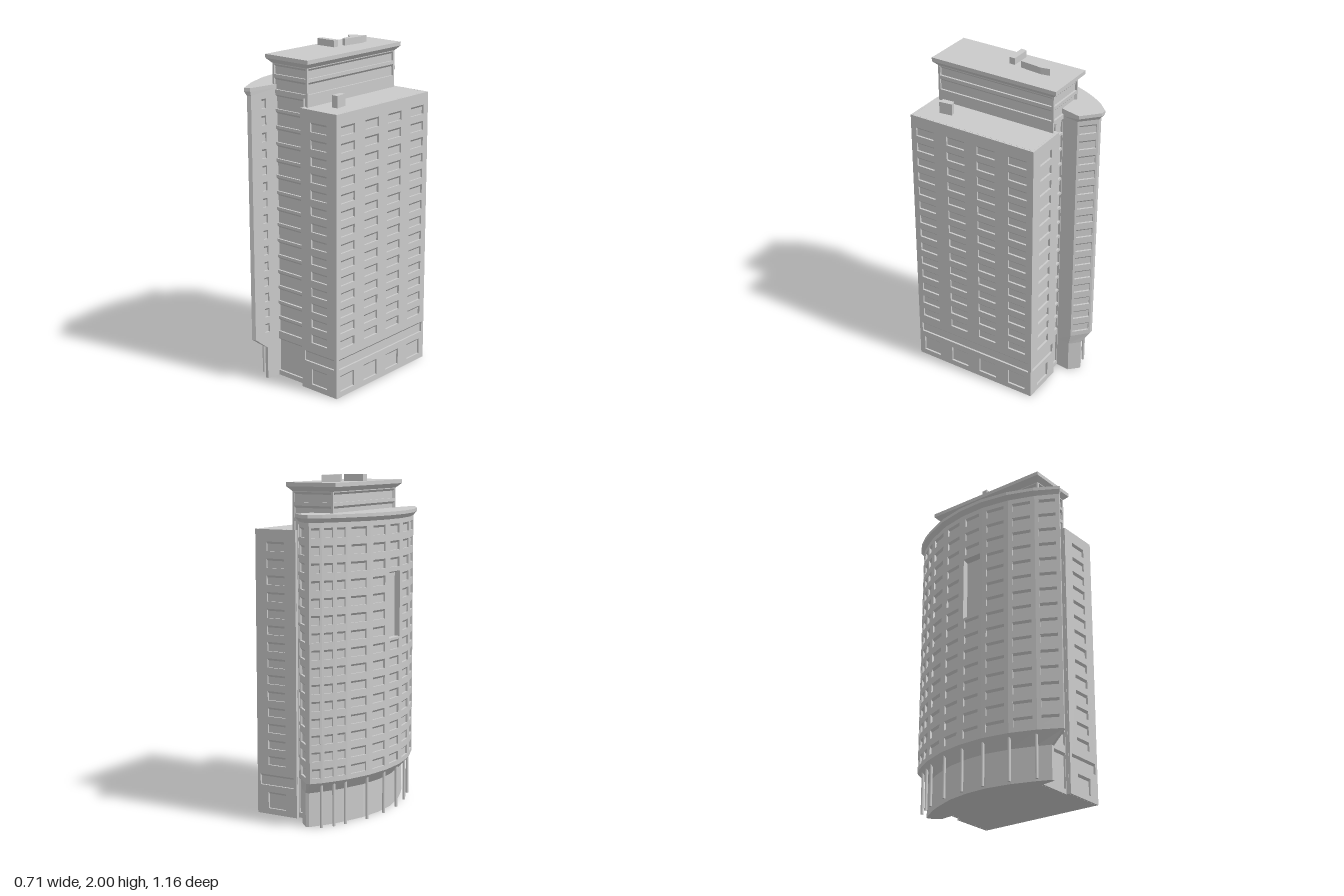
import * as THREE from 'three';
import { mergeGeometries } from 'three/addons/utils/BufferGeometryUtils.js';

const concrete = new THREE.MeshStandardMaterial({ color: 0xcacaca });
concrete.name = 'concrete';

const D = 0.012;                                  // window recess
const rows = Array.from({ length: 15 }, (_, i) => 0.325 + 0.0973 * i);

function add(parent, name, geometry) {
  const mesh = new THREE.Mesh(geometry, concrete);
  mesh.name = name;
  parent.add(mesh);
  return mesh;
}

// Upright solid from a plan outline of [x, z] points
function prism(loop, y0, y1) {
  const shape = new THREE.Shape(loop.map(([x, z]) => new THREE.Vector2(x, -z)));
  return new THREE.ExtrudeGeometry(shape, { depth: y1 - y0, bevelEnabled: false })
    .rotateX(-Math.PI / 2).translate(0, y0, 0);
}

// Sloping band between two outlines with the same number of points
function loft(low, y0, high, y1) {
  const p = [];
  low.forEach((c, i) => {
    const j = (i + 1) % low.length;
    const a = [low[j][0], y0, low[j][1]], b = [c[0], y0, c[1]];
    const d = [high[i][0], y1, high[i][1]], e = [high[j][0], y1, high[j][1]];
    p.push(...a, ...b, ...d, ...a, ...d, ...e);
  });
  const g = new THREE.BufferGeometry();
  g.setAttribute('position', new THREE.Float32BufferAttribute(p, 3));
  g.computeVertexNormals();
  return g;
}

const rect = (x0, x1, zFront, zBack) => [[x0, zFront], [x0, zBack], [x1, zBack], [x1, zFront]];

// Wall from a (left, seen from outside) to b with recessed openings
// given as { x, w, y0, y1, depth }; each has a sloping head.
function wall(a, b, y0, y1, openings, thick = D) {
  const dx = b[0] - a[0], dz = b[1] - a[1], len = Math.hypot(dx, dz);
  const shape = new THREE.Shape();
  shape.moveTo(0, y0).lineTo(len, y0).lineTo(len, y1).lineTo(0, y1).closePath();
  const parts = [];
  for (const o of openings) {
    const { x, w, depth = D } = o, l = x - w / 2, r = x + w / 2;
    const hole = new THREE.Path();
    hole.moveTo(l, o.y0).lineTo(l, o.y1).lineTo(r, o.y1).lineTo(r, o.y0).closePath();
    shape.holes.push(hole);
    // pane at the back of the recess
    const t = thick - depth + 0.002;
    parts.push(new THREE.BoxGeometry(w, o.y1 - o.y0, t)
      .translate(x, (o.y0 + o.y1) / 2, -depth - t / 2).toNonIndexed());
    // sloping head
    const s = 0.013, head = new THREE.BoxGeometry(w, s, depth).toNonIndexed();
    const p = head.attributes.position;
    for (let i = 0; i < p.count; i++) if (p.getZ(i) > 0) p.setY(i, s / 2);
    head.computeVertexNormals();
    parts.push(head.translate(x, o.y1 - s / 2, -depth / 2));
  }
  parts.push(new THREE.ExtrudeGeometry(shape, { depth: thick, bevelEnabled: false }).translate(0, 0, -thick));
  const m = new THREE.Matrix4().makeBasis(
    new THREE.Vector3(dx / len, 0, dz / len), new THREE.Vector3(0, 1, 0),
    new THREE.Vector3(-dz / len, 0, dx / len)).setPosition(a[0], 0, a[1]);
  return mergeGeometries(parts).applyMatrix4(m);
}

const windowsAt = (x, w, list) => list.map(y => ({ x, w, y0: y - 0.026, y1: y + 0.029 }));

export function createModel() {
  const model = new THREE.Group();
  model.name = 'towerBlock';

  // Curved wing: plan of the walls, the cornice and the set-back base
  const wing = new THREE.Group();
  wing.name = 'curvedWing';
  model.add(wing);
  const walls = [[-0.18, 0.565], [-0.25, 0.435], [-0.305, 0.28], [-0.333, 0.11], [-0.328, -0.05],
    [-0.297, -0.21], [-0.235, -0.365], [-0.195, -0.435], [-0.15, -0.505], [-0.1, -0.56],
    [-0.075, -0.56], [0.015, -0.475], [0, -0.37], [-0.13, 0.37], [-0.158, 0.555]];
  const cornice = [[-0.19, 0.578], [-0.27, 0.44], [-0.328, 0.285], [-0.357, 0.11], [-0.352, -0.05],
    [-0.32, -0.215], [-0.255, -0.375], [-0.215, -0.45], [-0.165, -0.52], [-0.105, -0.58],
    [-0.07, -0.58], [0.03, -0.49], [0, -0.37], [-0.13, 0.37], [-0.158, 0.56]];
  const base = [[-0.165, 0.47], [-0.2, 0.385], [-0.245, 0.25], [-0.272, 0.1], [-0.268, -0.04],
    [-0.24, -0.185], [-0.18, -0.33], [-0.145, -0.395], [-0.105, -0.455], [-0.065, -0.51],
    [-0.045, -0.515], [0.01, -0.46], [0, -0.37], [-0.13, 0.37], [-0.145, 0.47]];

  walls.forEach((right, i) => {
    if (i === 12) return;                         // side hidden against the core
    const left = walls[(i + 1) % walls.length];
    const len = Math.hypot(right[0] - left[0], right[1] - left[1]);
    let openings = [];
    if (i < 9) openings = windowsAt(len / 2, len * 0.68, rows);
    if (i === 10) openings = windowsAt(len / 2, len * 0.8, rows);
    if (i === 13) openings = windowsAt(len - 0.1, 0.032, rows);
    if (i === 3) {                                // tall sky opening
      openings = openings.filter((_, k) => k < 8 || k > 11);
      openings.push({ x: len / 2, w: len * 0.8, y0: 1.05, y1: 1.44, depth: 0.035 });
    }
    add(wing, 'wingWall', wall(left, right, 0.27, 1.75, openings, i === 3 ? 0.035 : D));
  });
  add(wing, 'wingSoffit', loft(base, 0.2, walls, 0.27));
  add(wing, 'wingBase', prism(base, 0, 0.2));
  add(wing, 'wingCorniceFlare', loft(walls, 1.745, cornice, 1.77));
  add(wing, 'wingRoof', prism(cornice, 1.77, 1.79));
  for (let i = 1; i <= 8; i++) {
    const [x, z] = walls[i].map((v, k) => THREE.MathUtils.lerp(v, base[i][k], 0.38));
    add(wing, 'column', new THREE.CylinderGeometry(0.009, 0.009, 0.26, 10)).position.set(x, 0.13, z);
  }

  // Side block
  const block = new THREE.Group();
  block.name = 'sideBlock';
  model.add(block);
  const top = 1.69, blockRows = rows.slice(0, 14);
  const facade = (len, centres, w) => [
    ...centres.flatMap(x => [...windowsAt(x, w, blockRows), { x, w, y0: 0.035, y1: 0.135 }]),
    { x: len / 2, w: len - 0.04, y0: 0.175, y1: 0.24 }];
  add(block, 'blockBody', prism(rect(0.085, 0.3425, 0.4025, -0.3875), 0, top));
  add(block, 'blockFront', wall([0.085, 0.415], [0.355, 0.415], 0, top, facade(0.27, [0.135], 0.12)));
  add(block, 'blockSide', wall([0.355, 0.415], [0.355, -0.4], 0, top,
    facade(0.815, [0.095, 0.302, 0.505, 0.712], 0.12)));
  add(block, 'blockBack', wall([0.355, -0.4], [0.085, -0.4], 0, top, facade(0.27, [0.135], 0.12)));
  add(block, 'blockVent', prism([[0.205, 0.22], [0.24, 0.21], [0.25, 0.29], [0.21, 0.29]], top, 1.76));

  // Central core with wide panels on every floor
  const core = new THREE.Group();
  core.name = 'core';
  model.add(core);
  const panels = (x, w) => [{ x, w, y0: 0.03, y1: 0.24 },
    ...rows.map(y => ({ x, w, y0: y - 0.04, y1: y + 0.042 }))];
  add(core, 'coreBody', prism(rect(-0.13, 0.09, 0.3725, -0.3625), 0, 1.75));
  add(core, 'coreFront', wall([-0.14, 0.385], [0.085, 0.385], 0, 1.74, panels(0.1135, 0.215)));
  add(core, 'coreBack', wall([0.085, -0.375], [-0.005, -0.375], 0, 1.74, panels(0.042, 0.075)));

  // Penthouse above the core
  const house = new THREE.Group();
  house.name = 'penthouse';
  model.add(house);
  const plan = rect(-0.15, 0.115, 0.388, -0.378);
  add(house, 'penthouseBody', prism(rect(-0.1375, 0.1025, 0.3755, -0.3655), top, 1.91));
  plan.forEach((right, i) => {
    const left = plan[(i + 1) % 4];
    const len = Math.hypot(right[0] - left[0], right[1] - left[1]);
    const bands = [[1.76, 1.828], [1.848, 1.905]].map(([y0, y1]) => ({ x: len / 2, w: len - 0.016, y0, y1 }));
    add(house, 'penthouseWall', wall(left, right, i === 3 || i === 1 ? 1.74 : top, 1.91, bands));
  });
  const eaves = rect(-0.182, 0.14, 0.412, -0.405);
  add(house, 'penthouseCornice', loft(plan, 1.91, eaves, 1.937));
  add(house, 'penthouseRoof', prism(eaves, 1.937, 1.96));
  add(house, 'roofBox', prism([[-0.16, 0], [-0.155, -0.037], [-0.03, -0.037], [-0.03, 0]], 1.96, 2));
  add(house, 'roofShelter', prism([[-0.015, -0.275], [-0.005, -0.22], [-0.02, -0.085],
    [-0.045, -0.09], [-0.055, -0.17], [-0.1, -0.203]], 1.96, 2));

  return model;
}
